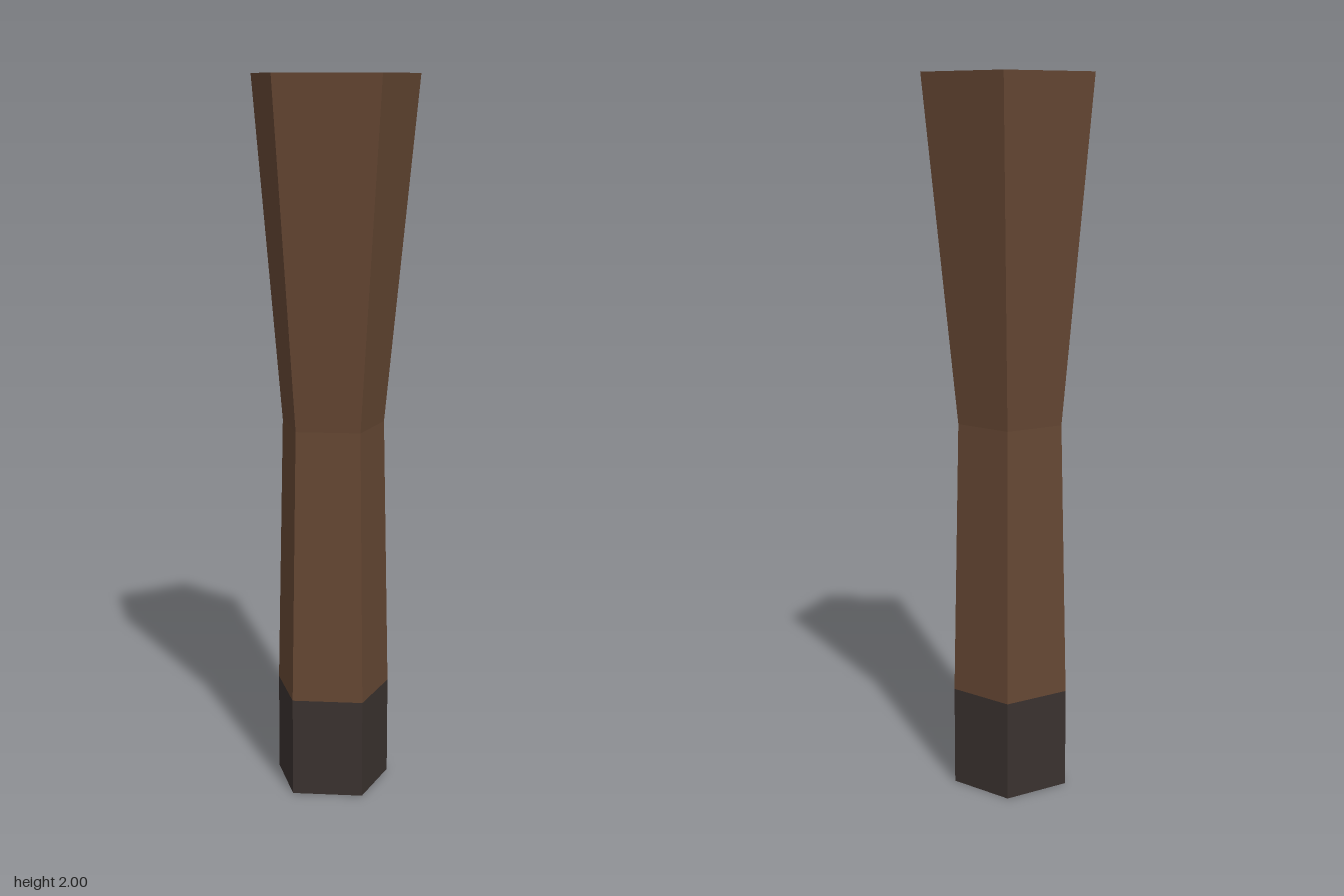
import * as THREE from 'three';

const SIDES = 5;
const AXIS_X = 0.02;

// Five-sided flat-shaded turned shape, one corner pointing to -x
function pentagonLathe(name, profile, color) {
  const points = profile.map(([r, y]) => new THREE.Vector2(r, y));
  const geometry = new THREE.LatheGeometry(points, SIDES, -Math.PI / 2);
  const material = new THREE.MeshStandardMaterial({ color, flatShading: true, side: THREE.DoubleSide });
  const mesh = new THREE.Mesh(geometry, material);
  mesh.name = name;
  mesh.position.x = AXIS_X;
  return mesh;
}

export function createModel() {
  const group = new THREE.Group();
  group.name = 'taperedHandle';

  // Dark band at the foot, open underneath
  group.add(pentagonLathe('footBand', [[0.167, 0], [0.167, 0.28]], 0x3a322f));

  // Wooden shaft: narrows to the waist, flares to a closed flat top
  const shaft = pentagonLathe('shaft', [[0.167, 0.28], [0.15, 1.05], [0.243, 2], [0, 2]], 0x654733);
  const pos = shaft.geometry.attributes.position;
  // The flare leans very slightly towards +x
  for (let i = 0; i < pos.count; i++) {
    if (pos.getY(i) > 1.5) pos.setX(i, pos.getX(i) + 0.003);
  }
  group.add(shaft);

  return group;
}
